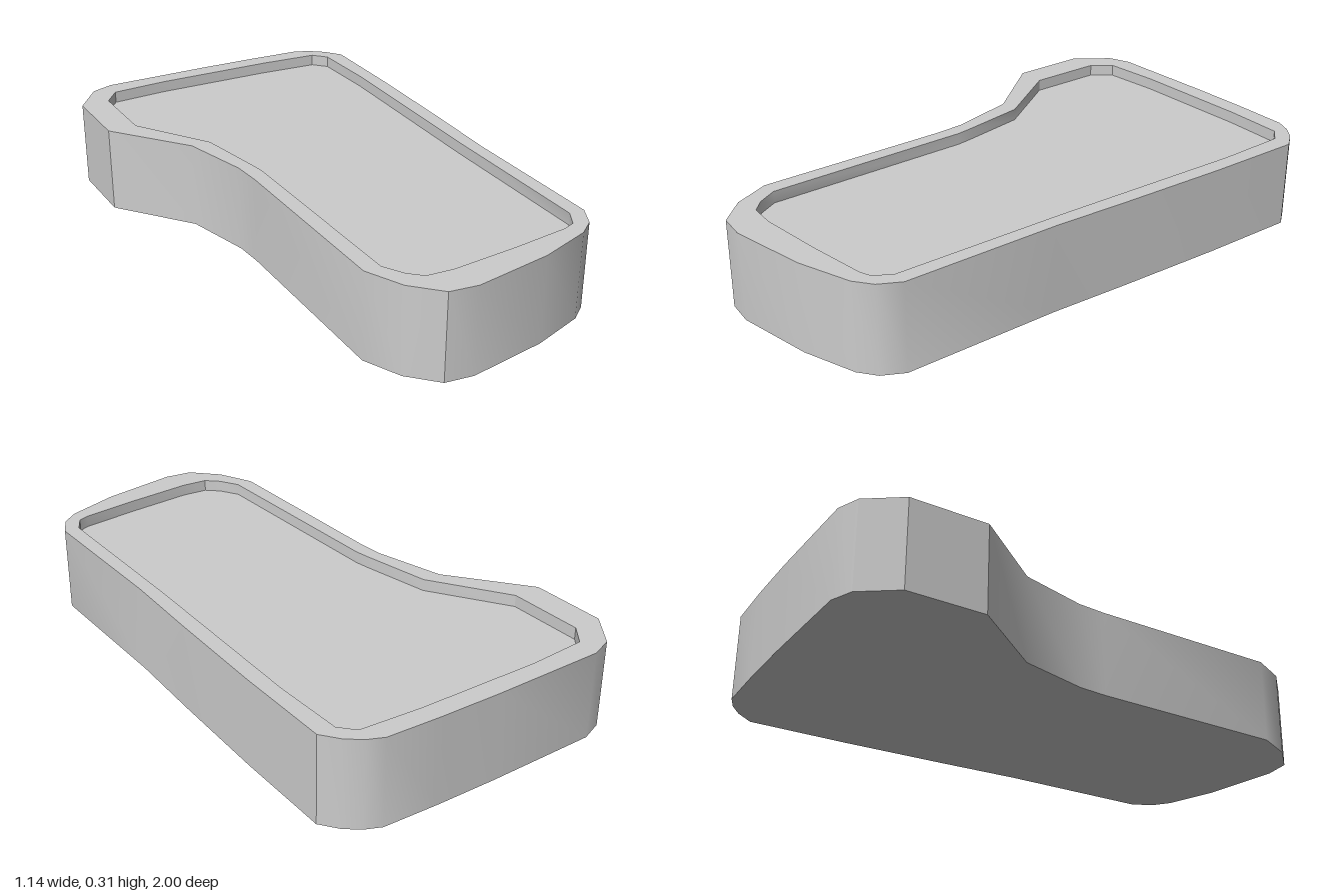
import * as THREE from 'three';
import { toCreasedNormals } from 'three/addons/utils/BufferGeometryUtils.js';

const HEIGHT = 0.312;
const FLOOR = 0.27;

// Outlines as [x, z], clockwise seen from above
const OUTER = [
  [-0.4, -1], [0, -1], [0.22, -0.995], [0.42, -0.985], [0.475, -0.96], [0.525, -0.92],
  [0.57, -0.86], [0.565, -0.5], [0.55, -0.1], [0.535, 0.2], [0.53, 0.77], [0.49, 0.845],
  [0.43, 0.89], [0.24, 0.953], [-0.04, 1], [-0.14, 0.987], [-0.23, 0.895], [-0.29, 0.765],
  [-0.29, 0.05], [-0.297, -0.055], [-0.36, -0.305], [-0.57, -0.575], [-0.57, -0.85], [-0.48, -0.97],
];
const INNER = [
  [-0.41, -0.92], [-0.2, -0.932], [0.24, -0.925], [0.46, -0.91], [0.505, -0.86], [0.51, -0.6],
  [0.485, 0.13], [0.475, 0.765], [0.44, 0.825], [0.4, 0.84], [0.19, 0.865], [-0.05, 0.885],
  [-0.145, 0.877], [-0.19, 0.835], [-0.23, 0.765], [-0.237, 0], [-0.245, -0.055],
  [-0.29, -0.305], [-0.465, -0.575], [-0.465, -0.85],
];

// Horizontal face at height y, facing up (dir 1) or down (dir -1)
function flatFace(outline, y, dir, hole) {
  const toPoints = (list) => list.map(([x, z]) => new THREE.Vector2(x, -dir * z));
  const shape = new THREE.Shape(toPoints(outline));
  if (hole) shape.holes.push(new THREE.Path(toPoints(hole)));
  return new THREE.ShapeGeometry(shape).rotateX(-dir * Math.PI / 2).translate(0, y, 0);
}

// Vertical wall along a closed outline, smooth across shallow corners
function wall(outline, y0, y1) {
  const positions = [];
  outline.forEach(([ax, az], i) => {
    const [bx, bz] = outline[(i + 1) % outline.length];
    positions.push(ax, y0, az, ax, y1, az, bx, y1, bz);
    positions.push(ax, y0, az, bx, y1, bz, bx, y0, bz);
  });
  const geometry = new THREE.BufferGeometry();
  geometry.setAttribute('position', new THREE.Float32BufferAttribute(positions, 3));
  return toCreasedNormals(geometry, THREE.MathUtils.degToRad(32));
}

export function createModel() {
  const group = new THREE.Group();
  group.name = 'tray';
  const material = new THREE.MeshStandardMaterial({ color: 0xcccccc });
  const add = (name, geometry) => {
    const mesh = new THREE.Mesh(geometry, material);
    mesh.name = name;
    group.add(mesh);
  };

  add('underside', flatFace(OUTER, 0, -1));
  add('outerWall', wall(OUTER, 0, HEIGHT));
  add('rim', flatFace(OUTER, HEIGHT, 1, INNER));
  // Shallow recess in the top
  add('recessWall', wall([...INNER].reverse(), FLOOR, HEIGHT));
  add('recessFloor', flatFace(INNER, FLOOR, 1));
  return group;
}
